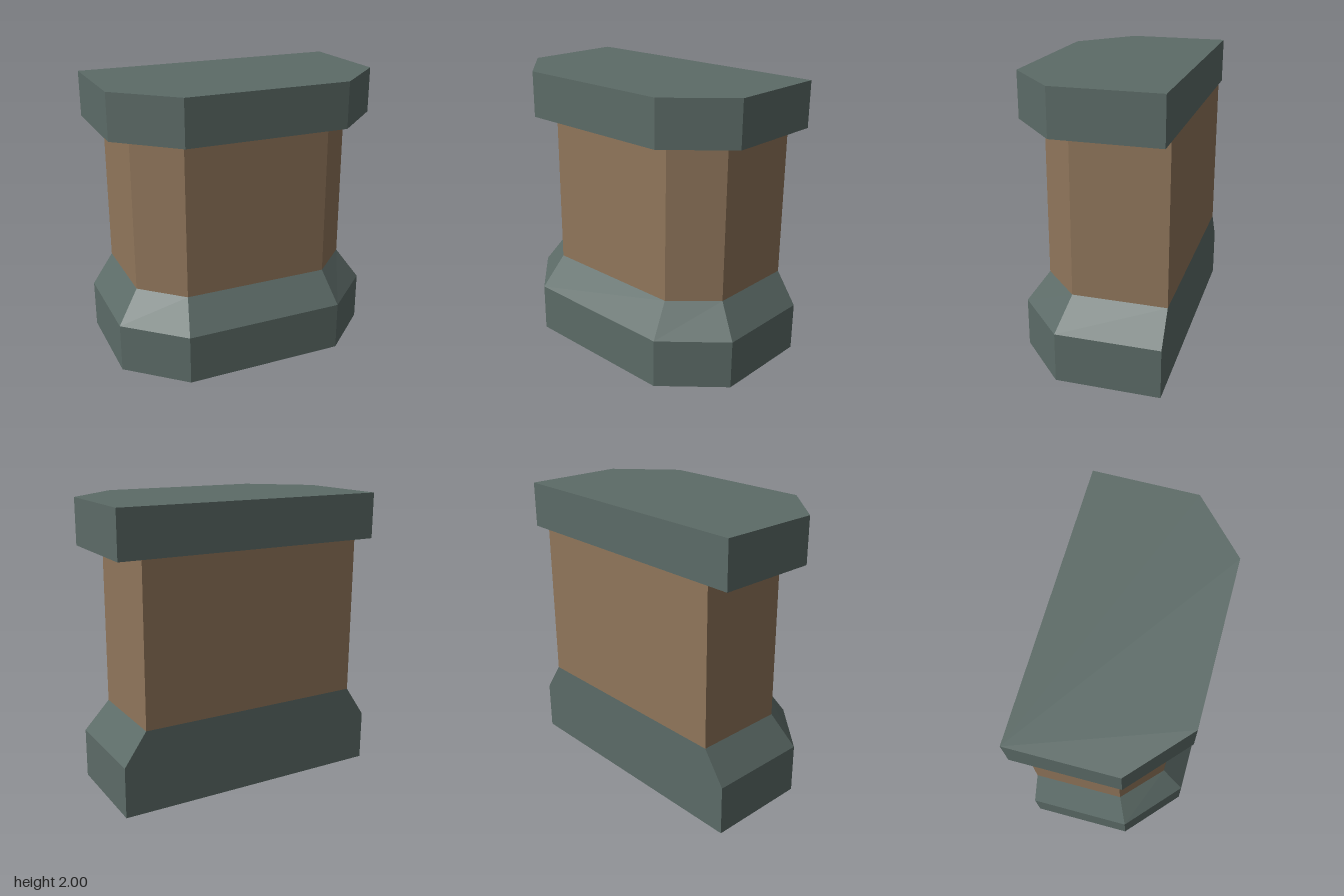
import * as THREE from 'three';

// Half-octagon outline with a flat back, counter-clockwise seen from above
const outline = (side, sideZ, frontX, frontZ, backZ) => [
  [-side, backZ], [-side, sideZ], [-frontX, frontZ],
  [frontX, frontZ], [side, sideZ], [side, backZ],
];

const WIDE = outline(0.965, 0.185, 0.577, 0.537, -0.537);
const NARROW = outline(0.81, 0.11, 0.527, 0.377, -0.537);

// Closed flat-faced solid through a stack of [height, outline] levels
function loft(levels) {
  const rings = levels.map(([y, ring]) => ring.map(([x, z]) => [x, y, z]));
  const n = rings[0].length;
  const positions = [];
  const tri = (a, b, c) => positions.push(...a, ...b, ...c);

  for (let k = 0; k < rings.length - 1; k++) {
    const lower = rings[k], upper = rings[k + 1];
    for (let i = 0; i < n; i++) {
      const j = (i + 1) % n;
      tri(lower[i], lower[j], upper[j]);
      tri(lower[i], upper[j], upper[i]);
    }
  }
  const bottom = rings[0], top = rings[rings.length - 1];
  for (let i = 1; i < n - 1; i++) {
    tri(top[0], top[i], top[i + 1]);
    tri(bottom[0], bottom[i + 1], bottom[i]);
  }

  const geometry = new THREE.BufferGeometry();
  geometry.setAttribute('position', new THREE.Float32BufferAttribute(positions, 3));
  geometry.computeVertexNormals();
  return geometry;
}

export function createModel() {
  const stone = new THREE.MeshStandardMaterial({ color: 0x5c6b67 });
  stone.name = 'grey green stone';
  const wood = new THREE.MeshStandardMaterial({ color: 0x90765b });
  wood.name = 'brown panel';

  const group = new THREE.Group();
  group.name = 'counter';
  const add = (name, levels, material) => {
    const mesh = new THREE.Mesh(loft(levels), material);
    mesh.name = name;
    group.add(mesh);
  };

  // Plinth with a sloped shoulder, body, and overhanging top
  add('base', [[0, WIDE], [0.35, WIDE], [0.575, NARROW]], stone);
  add('body', [[0.575, NARROW], [1.68, NARROW]], wood);
  add('topSlab', [[1.68, WIDE], [2, WIDE]], stone);

  return group;
}
